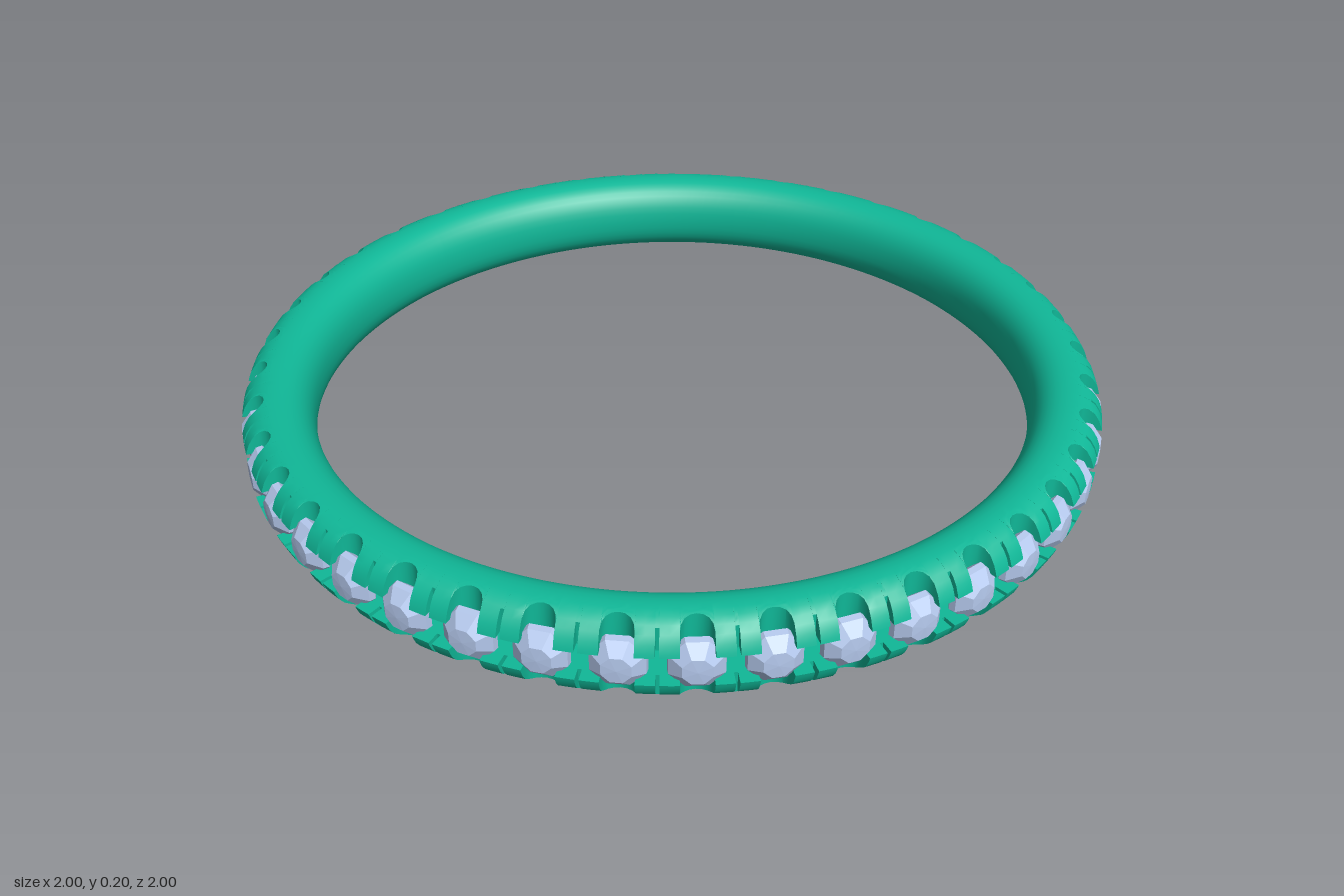
import * as THREE from 'three';
import { toCreasedNormals } from 'three/addons/utils/BufferGeometryUtils.js';

const GEMS = 41, PITCH = (Math.PI * 2) / GEMS;
const MID = 0.9175, HALF_W = 0.0825, HALF_H = 0.098; // band cross-section
const OUTER = 0.997, GROOVE_FLOOR = 0.9, GROOVE = 0.034;
const NOTCH = 0.033, SLIT = 0.004, SLIT_FLOOR = 0.967;

// Half height of the rounded band at radius r
function halfHeight(r) {
  const t = Math.min(1, Math.abs(r - MID) / HALF_W);
  return HALF_H * Math.pow(1 - Math.pow(t, 2.3), 1 / 2.3);
}

// Closed cross-section whose outer side is cut back to the given radius
function section(limit) {
  const top = [];
  const inner = MID - HALF_W, split = 0.93;
  for (let i = 0; i <= 10; i++) {
    const r = inner + (split - inner) * (1 - Math.cos((i / 10) * Math.PI / 2));
    top.push([r, halfHeight(r)]);
  }
  for (let i = 1; i <= 6; i++) {
    const r = split + (limit - split) * Math.sin((i / 6) * Math.PI / 2);
    top.push([r, Math.max(GROOVE, halfHeight(r))]);
  }
  top.push([limit, GROOVE], [GROOVE_FLOOR, GROOVE]);
  const bottom = top.slice(1).reverse().map(([r, y]) => [r, -y]);
  return [...top, ...bottom];
}

// Columns across one gem pitch: [sideways offset, outer radius]
function pitchColumns() {
  const half = PITCH * 0.98 / 2;
  const cols = [[-half, SLIT_FLOOR], [-half + SLIT, SLIT_FLOOR],
    [-half + SLIT, OUTER], [-0.052, OUTER], [-NOTCH, OUTER]];
  for (let i = 0; i <= 8; i++) {
    const a = (i / 8) * Math.PI;
    cols.push([-NOTCH * Math.cos(a), 0.974 - NOTCH * Math.sin(a)]);
  }
  cols.push([NOTCH, OUTER], [0.052, OUTER], [half - SLIT, OUTER], [half - SLIT, SLIT_FLOOR]);
  return cols;
}

// Band with a gem channel, rounded notches and thin slits between the prongs
function bandGeometry() {
  const cols = pitchColumns().map(([u, r]) => ({ angle: u / 0.98, loop: section(r) }));
  const n = cols[0].loop.length, total = cols.length * GEMS;
  const pos = [], index = [];
  for (let g = 0; g < GEMS; g++) {
    for (const { angle, loop } of cols) {
      const a = g * PITCH + angle;
      for (const [r, y] of loop) pos.push(r * Math.sin(a), y, r * Math.cos(a));
    }
  }
  for (let c = 0; c < total; c++) {
    const c0 = c * n, c1 = ((c + 1) % total) * n;
    for (let i = 0; i < n; i++) {
      const j = (i + 1) % n;
      index.push(c0 + i, c0 + j, c1 + i, c0 + j, c1 + j, c1 + i);
    }
  }
  const geo = new THREE.BufferGeometry();
  geo.setAttribute('position', new THREE.Float32BufferAttribute(pos, 3));
  geo.setIndex(index);
  return toCreasedNormals(geo, 0.6);
}

// Faceted round stone: culet, girdle, crown and table
function gemGeometry() {
  const profile = [[0, -0.06], [0.061, -0.004], [0.059, 0.01], [0.032, 0.033], [0, 0.035]]
    .map(([x, y]) => new THREE.Vector2(x, y));
  return new THREE.LatheGeometry(profile, 8).rotateY(Math.PI / 8).rotateX(Math.PI / 2);
}

export function createModel() {
  const model = new THREE.Group();
  model.name = 'eternityRing';

  const band = new THREE.Mesh(bandGeometry(), new THREE.MeshStandardMaterial({ color: 0x10b898 }));
  band.name = 'band';
  band.position.y = 0.1;
  model.add(band);

  const gems = new THREE.Group();
  gems.name = 'gems';
  gems.position.y = 0.1;
  const gemGeo = gemGeometry();
  const gemMat = new THREE.MeshStandardMaterial({ color: 0xb4c8ec, flatShading: true });
  for (let i = 0; i < GEMS; i++) {
    const gem = new THREE.Mesh(gemGeo, gemMat);
    gem.name = 'gem';
    const a = i * PITCH;
    gem.position.set(0.965 * Math.sin(a), 0, 0.965 * Math.cos(a));
    gem.rotation.y = a;
    gems.add(gem);
  }
  model.add(gems);
  return model;
}
